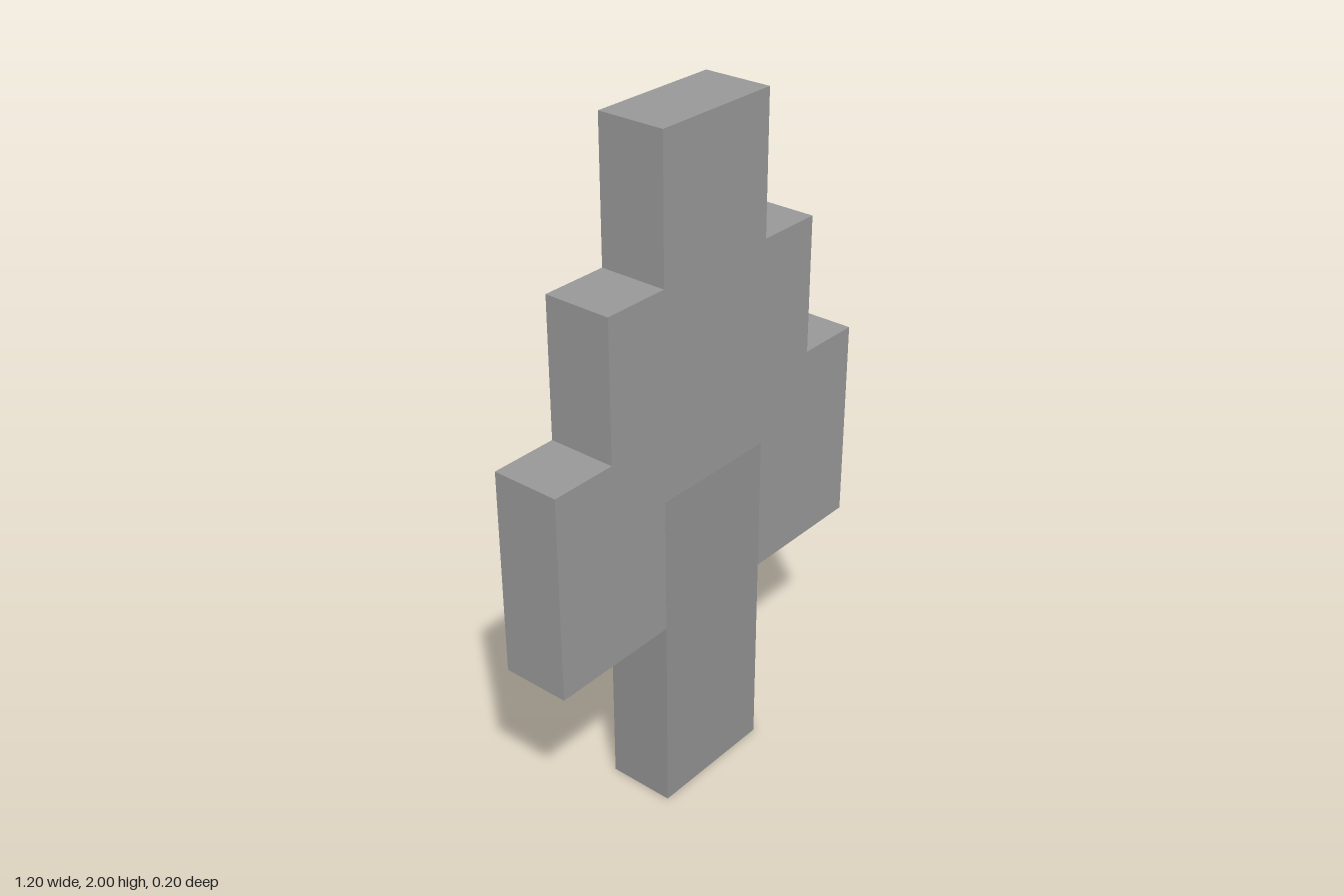
import * as THREE from 'three';

const DEPTH = 0.2;

export function createModel() {
  const model = new THREE.Group();
  model.name = 'steppedTree';
  const foliageMaterial = new THREE.MeshStandardMaterial({ color: 0x989898 });
  const trunkMaterial = new THREE.MeshStandardMaterial({ color: 0x929292 });

  // Stepped foliage: one half of the outline, mirrored to the other side
  const half = [[0.6, 0.6], [0.6, 1.2], [0.4, 1.2], [0.4, 1.6], [0.2, 1.6], [0.2, 2]];
  const mirrored = half.map(([x, y]) => [-x, y]).reverse();
  const outline = new THREE.Shape([...half, ...mirrored].map(([x, y]) => new THREE.Vector2(x, y)));
  const foliageGeometry = new THREE.ExtrudeGeometry(outline, { depth: DEPTH, bevelEnabled: false });
  foliageGeometry.translate(0, 0, -DEPTH / 2);
  const foliage = new THREE.Mesh(foliageGeometry, foliageMaterial);
  foliage.name = 'foliage';
  model.add(foliage);

  // Trunk runs up into the foliage, a hair proud so the faces do not coincide
  const trunk = new THREE.Mesh(new THREE.BoxGeometry(0.4, 1, DEPTH + 0.0004), trunkMaterial);
  trunk.name = 'trunk';
  trunk.position.y = 0.5;
  model.add(trunk);

  return model;
}
